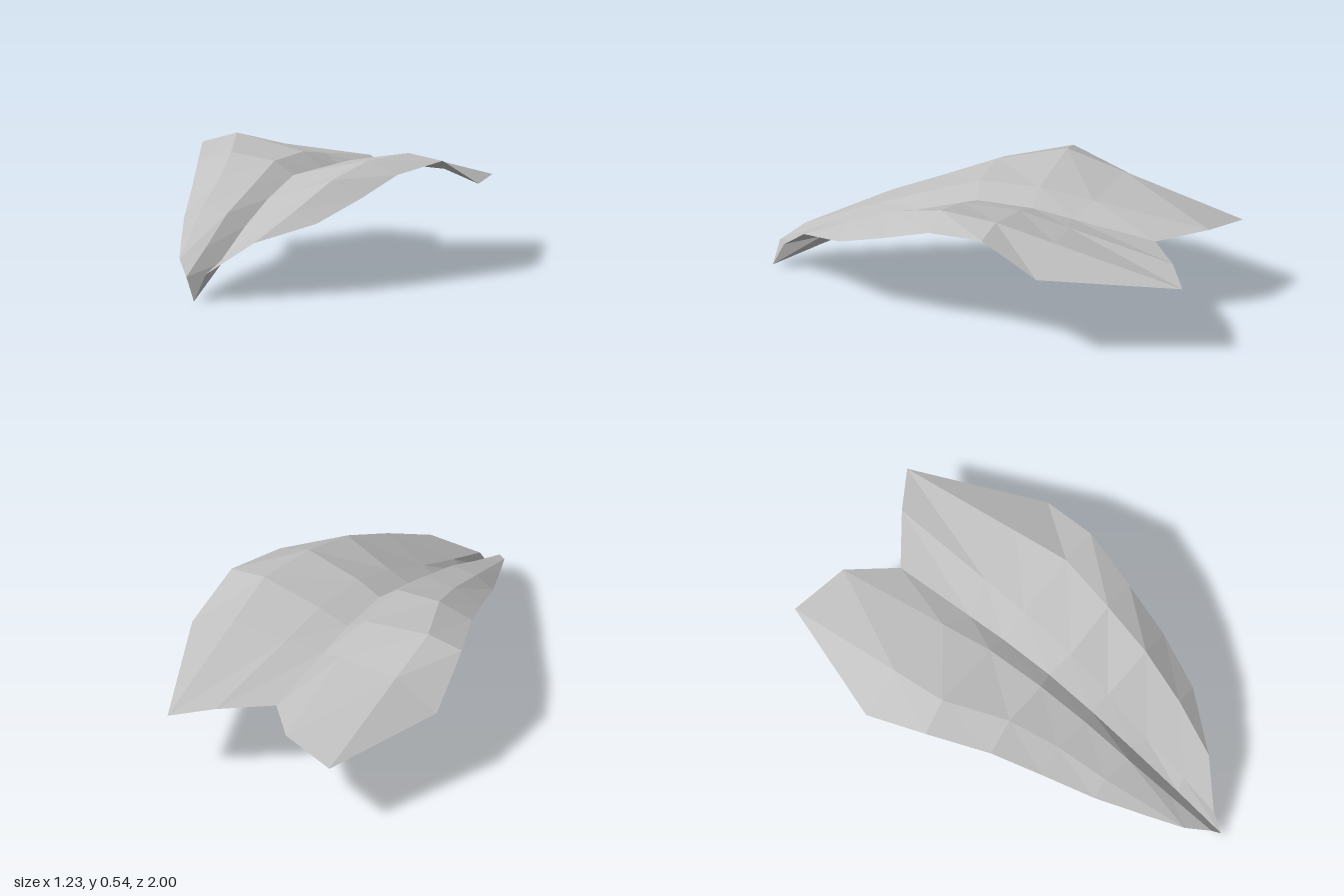
import * as THREE from 'three';

// Lengthwise fold lines, each running from the front tip to the back edge.
const leftEdge = [[-0.02, 0.1, 0.985], [-0.165, 0.205, 0.77], [-0.27, 0.28, 0.55], [-0.355, 0.365, 0.33],
  [-0.44, 0.45, 0.12], [-0.56, 0.495, -0.14], [-0.615, 0.36, -0.42], [-0.425, 0.325, -0.965]];
const leftCrease = [[-0.02, 0.1, 0.985], [-0.1, 0.16, 0.9], [-0.19, 0.33, 0.54], [-0.23, 0.42, 0.31],
  [-0.29, 0.5, 0.1], [-0.41, 0.54, -0.17], null, [-0.425, 0.325, -0.965]];
const leftRidge = [[-0.02, 0.1, 0.985], [-0.037, 0.2, 0.78], [-0.055, 0.315, 0.56], [-0.063, 0.4, 0.33],
  [-0.08, 0.478, 0.1], [-0.09, 0.482, -0.17], null, [-0.17, 0.365, -0.91]];
const valley = [[0.025, 0, 1], [0.018, 0.13, 0.77], [0.01, 0.26, 0.52], [0.005, 0.35, 0.31],
  [0, 0.42, 0.08], [0, 0.42, -0.17], null, [-0.005, 0.348, -0.73]];
const rightRidge = [[0.05, 0.11, 0.94], [0.065, 0.18, 0.76], [0.08, 0.268, 0.55], [0.1, 0.375, 0.32],
  [0.12, 0.452, 0.1], [0.14, 0.462, -0.17], null, [0.2, 0.345, -0.89]];
const rightCrease = [[0.05, 0.11, 0.94], [0.2, 0.235, 0.79], [0.275, 0.348, 0.57], [0.33, 0.455, 0.34],
  [0.37, 0.51, 0.1], [0.42, 0.512, -0.17], null, [0.37, 0.31, -1]];
const rightEdge = [[0.05, 0.11, 0.94], [0.2, 0.235, 0.79], [0.375, 0.3, 0.56], [0.46, 0.382, 0.33],
  [0.515, 0.46, 0.1], [0.585, 0.49, -0.17], [0.615, 0.36, -0.43], [0.37, 0.31, -1]];

// Fill the row across the widest part by sliding along the straight back folds.
function toPoints(line) {
  const pts = line.map((p) => p && new THREE.Vector3(...p));
  if (!pts[6]) pts[6] = pts[5].clone().lerp(pts[7], 0.32);
  return pts;
}

// Strip of facets between two neighbouring fold lines.
function makePanel(name, lineA, lineB, material) {
  const a = toPoints(lineA);
  const b = toPoints(lineB);
  const positions = [];
  const addTriangle = (p, q, r) => {
    if (new THREE.Triangle(p, q, r).getArea() < 1e-6) return;
    for (const v of [p, q, r]) positions.push(v.x, v.y, v.z);
  };
  for (let i = 0; i < a.length - 1; i++) {
    addTriangle(a[i], b[i], b[i + 1]);
    addTriangle(a[i], b[i + 1], a[i + 1]);
  }
  const geometry = new THREE.BufferGeometry();
  geometry.setAttribute('position', new THREE.Float32BufferAttribute(positions, 3));
  geometry.computeVertexNormals();
  const mesh = new THREE.Mesh(geometry, material);
  mesh.name = name;
  return mesh;
}

export function createModel() {
  const group = new THREE.Group();
  group.name = 'foldedLeaf';
  const grey = new THREE.MeshStandardMaterial({ color: 0xc0c0c0, flatShading: true, side: THREE.DoubleSide });
  grey.name = 'pale grey';

  // Panels from the model's right (-x) to its left (+x)
  const lines = [leftEdge, leftCrease, leftRidge, valley, rightRidge, rightCrease, rightEdge];
  const names = ['rightRim', 'rightBlade', 'rightValleyWall', 'leftValleyWall', 'leftBlade', 'leftRim'];
  names.forEach((name, i) => group.add(makePanel(name, lines[i], lines[i + 1], grey)));
  return group;
}
